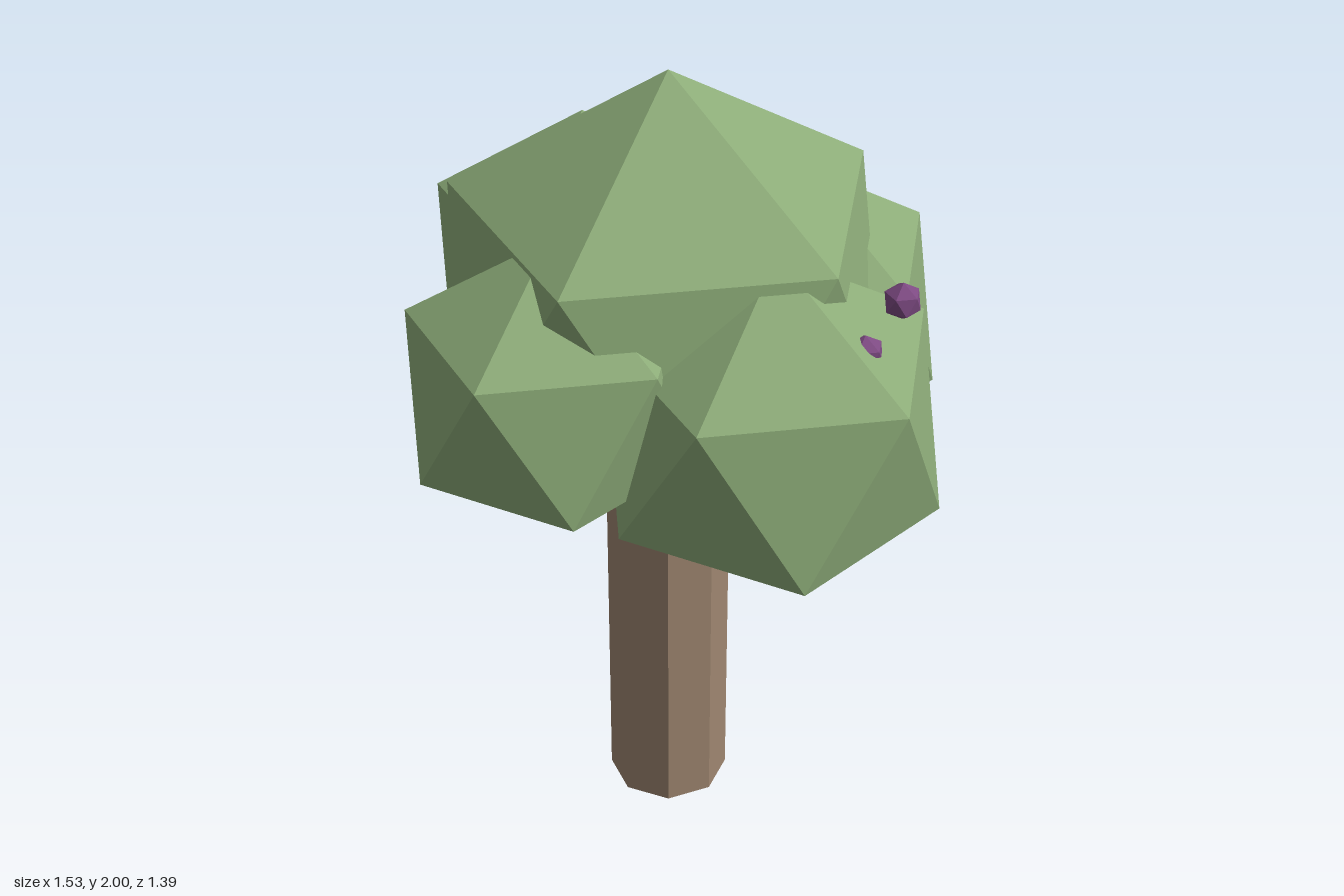
import * as THREE from 'three';

const material = (color) => new THREE.MeshStandardMaterial({ color, flatShading: true });

// Icosahedron standing on a vertex, with one upper-ring vertex towards +x
function uprightIcosahedron(radius) {
  const geometry = new THREE.IcosahedronGeometry(radius, 0);
  geometry.rotateX(-Math.atan((1 + Math.sqrt(5)) / 2));
  geometry.rotateY(Math.PI / 2);
  return geometry;
}

export function createModel() {
  const tree = new THREE.Group();
  tree.name = 'tree';

  const bark = material(0x9e8670);
  const leaf = material(0x8cab78);
  const fruit = material(0x7d4a82);

  // Eight-sided trunk, its top hidden in the crown
  const trunk = new THREE.Mesh(new THREE.CylinderGeometry(0.15, 0.15, 1.1, 8), bark);
  trunk.name = 'trunk';
  trunk.position.set(-0.005, 0.55, 0.01);
  tree.add(trunk);

  const addClump = (name, mat, [x, y, z, radius]) => {
    const mesh = new THREE.Mesh(uprightIcosahedron(radius), mat);
    mesh.name = name;
    mesh.position.set(x, y, z);
    tree.add(mesh);
  };

  // Crown: a large central clump and four around it (x, y, z, radius)
  addClump('crownCentre', leaf, [-0.005, 1.43, 0.008, 0.57]);
  addClump('crownLeft', leaf, [0.38, 1.285, 0.065, 0.43]);
  addClump('crownRight', leaf, [-0.406, 1.317, -0.105, 0.407]);
  addClump('crownFront', leaf, [0, 1.355, 0.376, 0.37]);
  addClump('crownBack', leaf, [0.052, 1.265, -0.363, 0.39]);

  // Berries, two of them half sunk into the leaves
  [
    [0.56, 1.59, -0.145, 0.045],
    [0.45, 1.475, -0.29, 0.042],
    [0.585, 1.533, 0.005, 0.045],
    [-0.288, 1.215, 0.394, 0.042],
  ].forEach((berry, i) => addClump(`berry${i + 1}`, fruit, berry));

  return tree;
}
